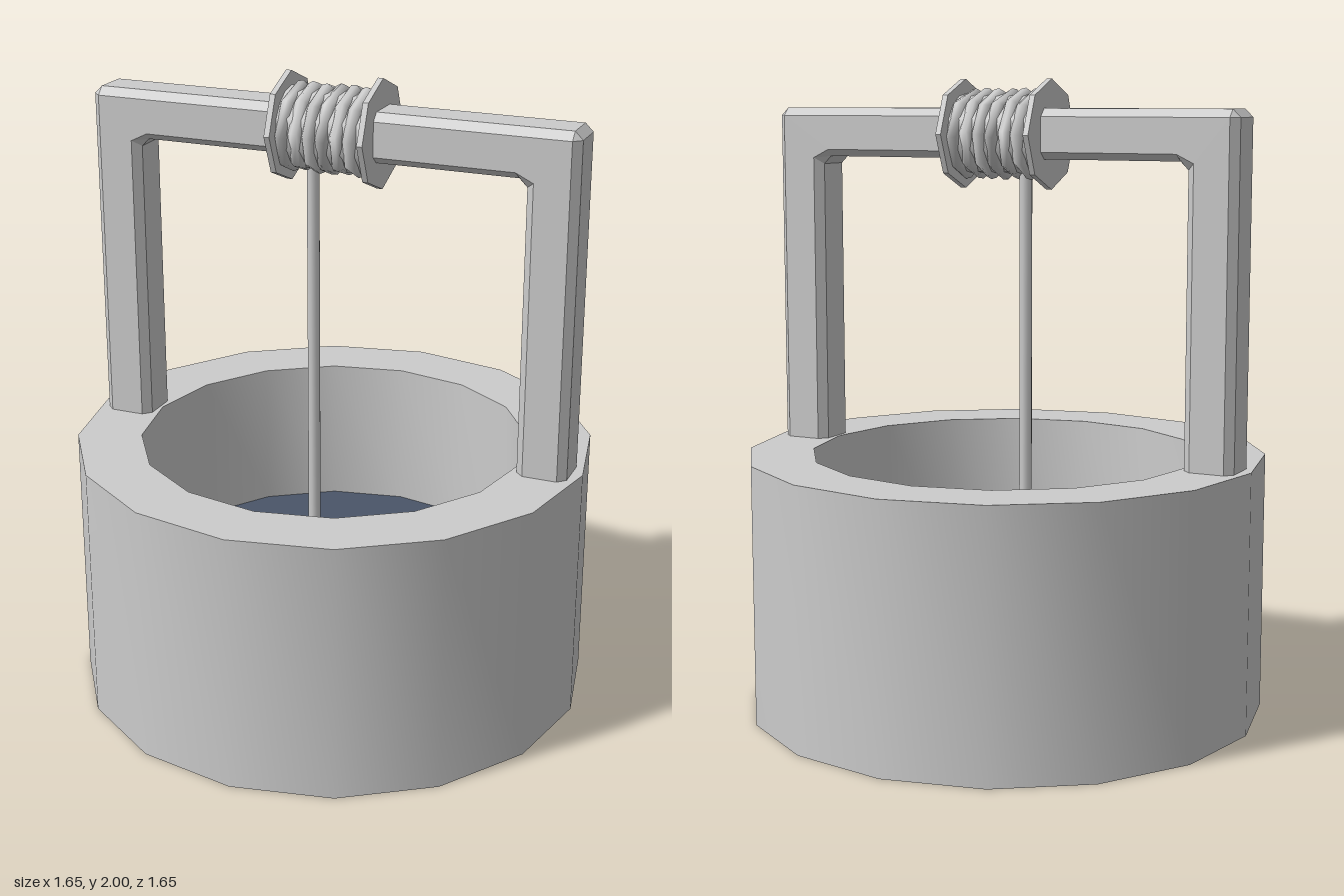
import * as THREE from 'three';
import { toCreasedNormals } from 'three/addons/utils/BufferGeometryUtils.js';

const stone = new THREE.MeshStandardMaterial({ color: 0xcccccc });
stone.name = 'pale grey';
const waterBlue = new THREE.MeshStandardMaterial({ color: 0x4a5568 });
waterBlue.name = 'slate blue';

const WATER_Y = 0.34, AXLE_Y = 1.83;

function part(parent, name, geometry, material = stone) {
  const mesh = new THREE.Mesh(geometry, material);
  mesh.name = name;
  parent.add(mesh);
  return mesh;
}

// Chamfered arch: matching outlines joined front to back, then capped
function archGeometry() {
  const mirror = (half) => [...half, ...half.map(([x, y]) => [-x, y]).reverse()];
  const rim = mirror([[0.63, 0.8], [0.79, 0.8], [0.79, 1.885], [0.765, 1.91]]);
  const face = mirror([[0.655, 0.8], [0.765, 0.8], [0.765, 1.885], [0.765, 1.885]]);
  rim.push(...[[-0.63, 1.73], [-0.605, 1.755], [0.605, 1.755], [0.63, 1.73]]);
  face.push(...[[-0.655, 1.75], [-0.6, 1.777], [0.6, 1.777], [0.655, 1.75]]);

  const rings = [[face, 0.08], [rim, 0.055], [rim, -0.055], [face, -0.08]];
  const pos = [];
  const n = rim.length;
  const put = (r, i) => {
    const [x, y] = rings[r][0][i % n];
    pos.push(x, y, rings[r][1]);
  };
  for (let r = 0; r < 3; r++) {
    for (let i = 0; i < n; i++) {
      put(r, i); put(r + 1, i); put(r + 1, i + 1);
      put(r, i); put(r + 1, i + 1); put(r, i + 1);
    }
  }
  // Caps skip the doubled corner points
  const keep = face.map((_, i) => i).filter((i) => i !== 3 && i !== 4);
  const flat = keep.map((i) => new THREE.Vector2(...face[i]));
  for (const [a, b, c] of THREE.ShapeUtils.triangulateShape(flat, [])) {
    [a, b, c].forEach((i) => put(0, keep[i]));
    [a, c, b].forEach((i) => put(3, keep[i]));
  }
  const geometry = new THREE.BufferGeometry();
  geometry.setAttribute('position', new THREE.Float32BufferAttribute(pos, 3));
  geometry.computeVertexNormals();
  return geometry;
}

export function createModel() {
  const well = new THREE.Group();
  well.name = 'well';

  // Sixteen-sided basin with a flat rim and closed bottom
  const profile = [[0, 0], [0.825, 0], [0.825, 0.825], [0.62, 0.825], [0.62, WATER_Y]]
    .map(([x, y]) => new THREE.Vector2(x, y));
  part(well, 'wall', toCreasedNormals(new THREE.LatheGeometry(profile, 16), 0.6));

  const water = part(well, 'water', new THREE.CircleGeometry(0.62, 16), waterBlue);
  water.rotation.x = -Math.PI / 2;
  water.position.y = WATER_Y;

  part(well, 'arch', archGeometry());

  // Spool on the crossbeam
  const spool = new THREE.Group();
  spool.name = 'spool';
  spool.position.y = AXLE_Y;
  well.add(spool);
  part(spool, 'drum', new THREE.CylinderGeometry(0.125, 0.125, 0.29, 16).rotateZ(Math.PI / 2));
  for (const side of [-1, 1]) {
    const flange = new THREE.CylinderGeometry(0.17, 0.17, 0.018, 8).rotateZ(Math.PI / 2);
    part(spool, side > 0 ? 'leftFlange' : 'rightFlange', toCreasedNormals(flange, 0.5))
      .position.x = side * 0.149;
  }

  // Rope wound round the drum, eight straight runs per turn
  const turns = 6, pitch = 0.044;
  const coil = new THREE.CurvePath();
  const at = (i) => {
    const a = (i / 8) * Math.PI * 2;
    return new THREE.Vector3((i / 8 - turns / 2) * pitch, -0.12 * Math.cos(a), 0.12 * Math.sin(a));
  };
  for (let i = 0; i < turns * 8; i++) coil.add(new THREE.LineCurve3(at(i), at(i + 1)));
  part(spool, 'ropeCoil', new THREE.TubeGeometry(coil, turns * 8, 0.023, 8));

  // Rope hanging down to the water
  const top = AXLE_Y - 0.11;
  part(well, 'hangingRope', new THREE.CylinderGeometry(0.021, 0.021, top - WATER_Y + 0.02, 8))
    .position.set(-0.07, (top + WATER_Y - 0.02) / 2, 0);

  return well;
}
